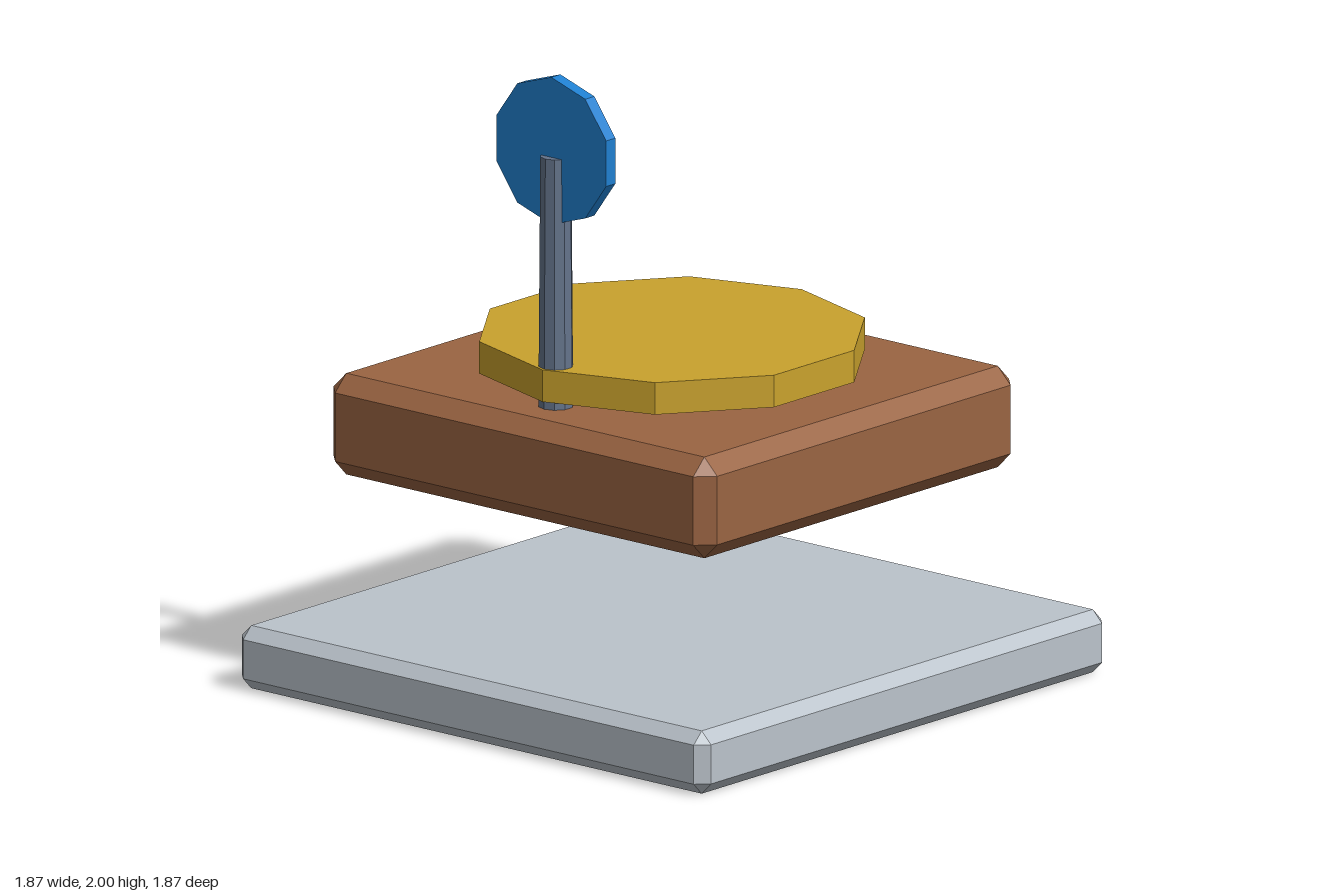
import * as THREE from 'three';
import { ConvexGeometry } from 'three/addons/geometries/ConvexGeometry.js';

const mat = (name, color) => {
  const m = new THREE.MeshStandardMaterial({ color, flatShading: true });
  m.name = name;
  return m;
};

// Box with all edges cut at 45 degrees
function chamferedBox(w, h, d, c) {
  const x = w / 2, y = h / 2, z = d / 2;
  const points = [];
  for (const sx of [-1, 1]) for (const sy of [-1, 1]) for (const sz of [-1, 1]) {
    points.push(
      new THREE.Vector3(sx * x, sy * (y - c), sz * (z - c)),
      new THREE.Vector3(sx * (x - c), sy * y, sz * (z - c)),
      new THREE.Vector3(sx * (x - c), sy * (y - c), sz * z)
    );
  }
  return new ConvexGeometry(points);
}

export function createModel() {
  const group = new THREE.Group();
  const add = (name, geometry, material, x, y, z) => {
    const mesh = new THREE.Mesh(geometry, material);
    mesh.name = name;
    mesh.position.set(x, y, z);
    group.add(mesh);
    return mesh;
  };

  // Stacked slabs
  add('baseSlab', chamferedBox(1.868, 0.196, 1.868, 0.037), mat('pale grey', 0xbbc3cb), 0, 0.098, 0);
  add('upperBlock', chamferedBox(1.528, 0.316, 1.448, 0.051), mat('brown', 0x9a6442), 0, 0.812, 0);

  // Ten-sided platter floating just above the block
  add('platter', new THREE.CylinderGeometry(0.595, 0.595, 0.1, 10), mat('gold', 0xc9a22d), 0, 1.045, 0);

  // Post with an upright ten-sided disc
  add('post', new THREE.CylinderGeometry(0.048, 0.054, 0.79, 10), mat('slate', 0x64748b), 0, 1.355, 0.533);
  const disc = add('signDisc', new THREE.CylinderGeometry(0.23, 0.23, 0.042, 10), mat('blue', 0x2080d0), 0, 1.77, 0.533);
  disc.rotation.x = Math.PI / 2;

  return group;
}
